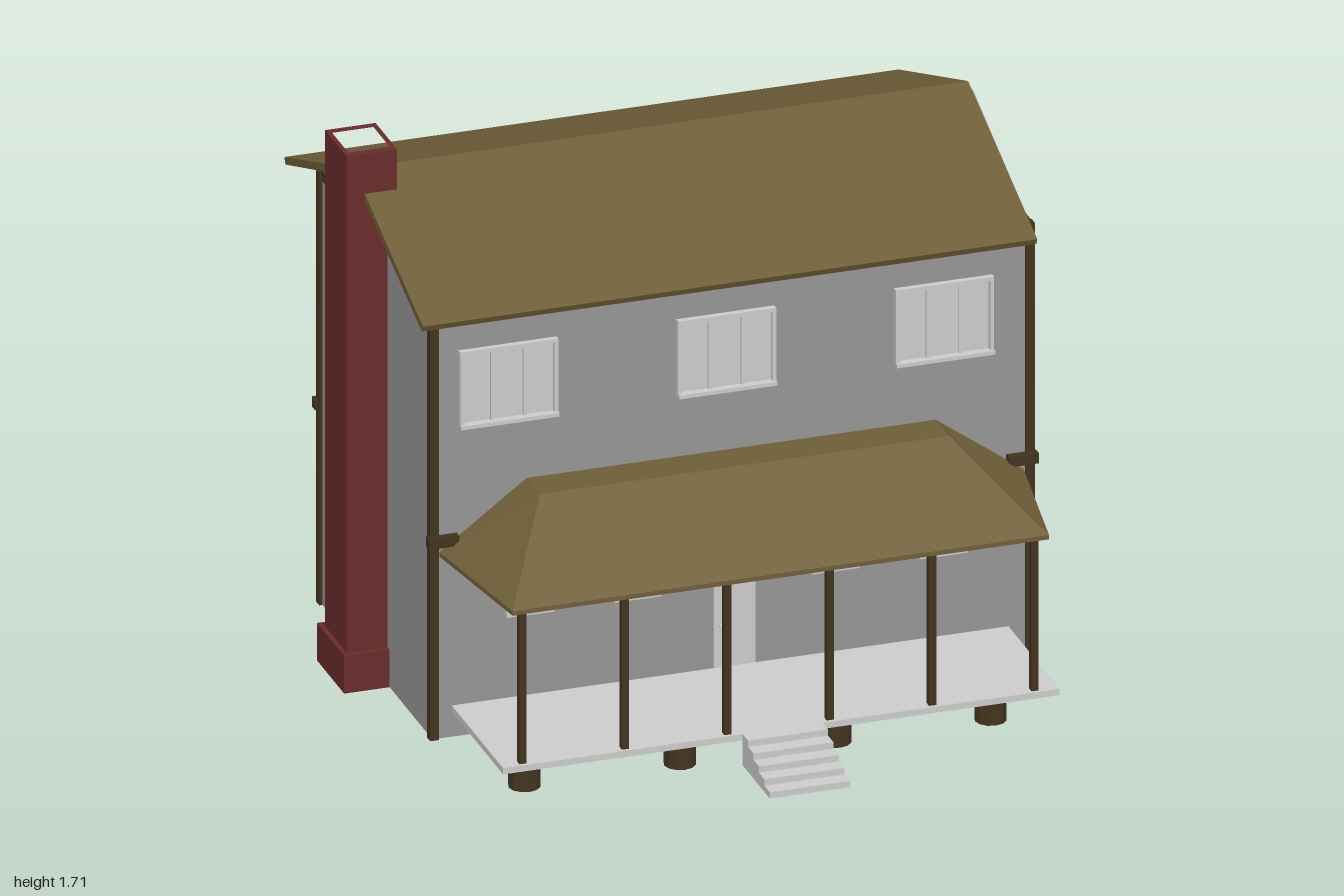
import * as THREE from 'three';

const mat = (color) => new THREE.MeshStandardMaterial({ color, flatShading: true });

export function createModel() {
  const house = new THREE.Group();
  house.name = 'house';
  const grey = mat(0xcccccc), wall = mat(0x959595), wood = mat(0x43331f);
  const shingle = mat(0x6e5e38), brick = mat(0x692b2b);

  function add(name, geometry, material, parent = house) {
    const mesh = new THREE.Mesh(geometry, material);
    mesh.name = name;
    parent.add(mesh);
    return mesh;
  }
  // Box given by its extents along each axis
  function box(name, x0, x1, y0, y1, z0, z1, material, parent) {
    const g = new THREE.BoxGeometry(x1 - x0, y1 - y0, z1 - z0);
    g.translate((x0 + x1) / 2, (y0 + y1) / 2, (z0 + z1) / 2);
    return add(name, g, material, parent);
  }
  // Side profile of [z, y] points swept along x
  function sweepX(name, points, x0, x1, material) {
    const shape = new THREE.Shape(points.map(([z, y]) => new THREE.Vector2(z, y)));
    const g = new THREE.ExtrudeGeometry(shape, { depth: x1 - x0, bevelEnabled: false });
    g.rotateY(-Math.PI / 2).translate(x1, 0, 0);
    return add(name, g, material);
  }

  // Gabled walls and main roof
  sweepX('walls', [[0.21, 0], [0.21, 1.39], [-0.295, 1.59], [-0.8, 1.39], [-0.8, 0]], -0.86, 0.975, wall);
  sweepX('mainRoof', [[0.33, 1.385], [-0.295, 1.62], [-0.92, 1.385], [-0.91, 1.365],
    [-0.295, 1.593], [0.32, 1.365]], -0.93, 0.96, shingle);

  // Corner posts, with a short beam at the top and a bracket halfway up
  const midX = 0.06, midZ = -0.295;
  for (const sx of [-1, 1]) for (const sz of [-1, 1]) {
    const corner = new THREE.Group();
    corner.name = 'cornerFrame';
    house.add(corner);
    const part = (name, x0, x1, y0, y1, z0, z1) => {
      const xs = [midX + sx * x0, midX + sx * x1].sort((a, b) => a - b);
      const zs = [midZ + sz * z0, midZ + sz * z1].sort((a, b) => a - b);
      box(name, ...xs, y0, y1, ...zs, wood, corner);
    };
    part('cornerPost', 0.903, 0.93, 0, 1.385, 0.485, 0.515);
    part('topBeam', 0.9, 0.922, 1.36, 1.392, 0.315, 0.522);
    part('cornerBracket', 0.845, 0.938, 0.62, 0.652, 0.5, 0.53);
  }

  // Chimney: footing, shaft and a hollow top
  box('chimneyBase', -1, -0.86, 0, 0.12, -0.42, -0.175, brick);
  box('chimneyShaft', -0.985, -0.85, 0.12, 1.55, -0.39, -0.195, brick);
  const rect = (S, x0, x1, z0, z1) => new S([[x0, -z0], [x1, -z0], [x1, -z1], [x0, -z1]]
    .map(([x, y]) => new THREE.Vector2(x, y)));
  const ring = rect(THREE.Shape, -0.985, -0.83, -0.39, -0.195);
  ring.holes.push(rect(THREE.Path, -0.972, -0.845, -0.365, -0.22));
  const top = new THREE.ExtrudeGeometry(ring, { depth: 0.16, bevelEnabled: false });
  add('chimneyTop', top.rotateX(-Math.PI / 2).translate(0, 1.55, 0), brick);

  // Framed windows
  function windowUnit(name, x0, x1, y0, y1, z, mullions) {
    const unit = new THREE.Group();
    unit.name = name;
    house.add(unit);
    const t = 0.012;
    box('pane', x0 + t, x1 - t, y0 + t, y1 - t, 0.2, 0.214, grey, unit);
    box('frameSide', x0, x0 + t, y0, y1, 0.2, z, grey, unit);
    box('frameSide', x1 - t, x1, y0, y1, 0.2, z, grey, unit);
    box('frameTop', x0, x1, y1 - t, y1, 0.2, z, grey, unit);
    box('sill', x0, x1, y0, y0 + t, 0.2, 0.238, grey, unit);
    for (let i = 1; i <= mullions; i++) {
      const x = x0 + (x1 - x0) * i / (mullions + 1);
      box('mullion', x - 0.005, x + 0.005, y0 + t, y1 - t, 0.2, 0.222, grey, unit);
    }
  }
  for (const x of [-0.78, -0.11, 0.56]) windowUnit('upperWindow', x, x + 0.302, 0.99, 1.235, 0.228, 2);
  for (const x of [-0.64, -0.31, 0.298, 0.63]) windowUnit('lowerWindow', x, x + 0.147, 0.368, 0.49, 0.235, 1);

  // Front door
  box('door', 0.003, 0.13, 0.105, 0.37, 0.2, 0.22, grey);
  box('doorHandle', 0.018, 0.042, 0.236, 0.243, 0.22, 0.23, grey);

  // Porch deck, stump footings and posts
  box('porchDeck', -0.8, 0.912, 0.08, 0.1, 0.205, 0.672, grey);
  for (let i = 0; i < 4; i++) {
    const g = new THREE.CylinderGeometry(0.048, 0.048, 0.08, 12);
    add('porchFooting', g.translate(-0.71 + i * 0.478, 0.04, 0.6), wood);
  }
  for (let i = 0; i < 6; i++) {
    const x = -0.735 + i * 0.315;
    box('porchPost', x - 0.011, x + 0.011, 0.1, 0.592, 0.64, 0.662, wood);
  }

  // Hipped porch roof: a flat ridge on a splayed eave slab
  const eave = (y) => [[-0.84, y, 0.2], [-0.77, y, 0.67], [0.88, y, 0.67], [0.96, y, 0.2]];
  const loops = [eave(0.583), eave(0.597),
    [[-0.57, 0.795, 0.2], [-0.57, 0.795, 0.33], [0.69, 0.795, 0.33], [0.69, 0.795, 0.2]]];
  const verts = [];
  const quad = (a, b, c, d) => verts.push(...a, ...b, ...c, ...a, ...c, ...d);
  for (let k = 0; k < 2; k++) for (let i = 0; i < 4; i++) {
    const j = (i + 1) % 4;
    quad(loops[k][i], loops[k][j], loops[k + 1][j], loops[k + 1][i]);
  }
  quad(...loops[2]);
  quad(...[...loops[0]].reverse());
  const hip = new THREE.BufferGeometry();
  hip.setAttribute('position', new THREE.Float32BufferAttribute(verts, 3));
  hip.computeVertexNormals();
  add('porchRoof', hip, shingle);

  // Solid front steps
  const steps = [[0.672, 0]];
  for (let i = 0; i < 5; i++) {
    const y = 0.1 - i * 0.02;
    steps.push([i ? 0.672 + i * 0.049 : 0.672, y], [0.672 + (i + 1) * 0.049, y]);
  }
  steps.push([0.917, 0]);
  sweepX('frontSteps', steps, -0.063, 0.183, grey);

  return house;
}
